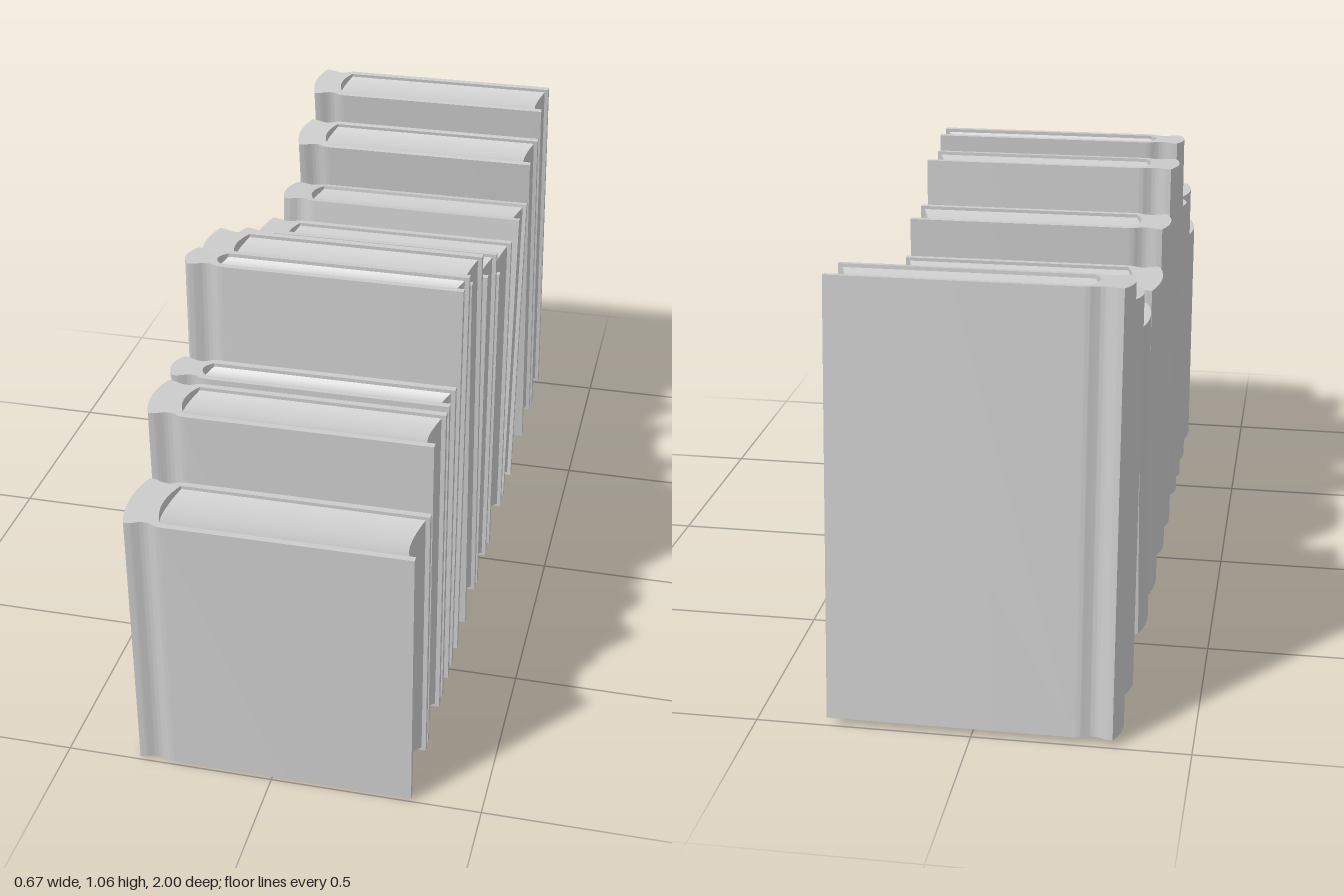
import * as THREE from 'three';
import { toCreasedNormals } from 'three/addons/utils/BufferGeometryUtils.js';

const BOARD = 0.016;        // cover thickness
const FRONT = 0.335;        // x of the fore edge of the boards
const PAGE_BACK = -0.243, PAGE_FRONT = 0.325, BULGE = 0.018;

// [centre z, base y, thickness, height, lean in degrees towards +z]
const BOOKS = [
  [0.906, 0.009, 0.187, 0.668, 0],
  [0.723, 0.009, 0.153, 0.834, 0],
  [0.577, 0.009, 0.092, 0.834, 0],
  [0.452, 0.009, 0.092, 1.052, -1.2],
  [0.229, 0.010, 0.153, 1.018, 3.2],
  [0.058, 0.009, 0.148, 0.920, 0],
  [-0.164, 0.009, 0.206, 0.834, 0],
  [-0.374, 0.008, 0.151, 0.838, -5.9],
  [-0.729, 0.014, 0.153, 0.941, 6.2],
  [-0.921, 0.010, 0.152, 1.030, 6.1],
];

const material = new THREE.MeshStandardMaterial({ color: 0xcccccc });

// C-shaped case: two boards, hinge grooves and a rounded spine, extruded upwards
function coverGeometry(t, h) {
  const o = t / 2, i = o - BOARD;
  const s = new THREE.Shape();
  s.moveTo(FRONT, -o);
  s.lineTo(-0.235, -o);
  s.bezierCurveTo(-0.258, -o, -0.258, -o + 0.012, -0.277, -o + 0.012);
  s.bezierCurveTo(-0.295, -o + 0.012, -0.3, -o, -0.322, -o);
  s.quadraticCurveTo(-0.354, 0, -0.322, o);
  s.bezierCurveTo(-0.3, o, -0.295, o - 0.012, -0.277, o - 0.012);
  s.bezierCurveTo(-0.258, o - 0.012, -0.258, o, -0.235, o);
  s.lineTo(FRONT, o);
  s.lineTo(FRONT, i);
  s.lineTo(PAGE_BACK, i);
  s.quadraticCurveTo(PAGE_BACK - 2 * BULGE, 0, PAGE_BACK, -i);
  s.lineTo(FRONT, -i);
  s.closePath();
  const g = new THREE.ExtrudeGeometry(s, { depth: h, bevelEnabled: false, curveSegments: 10 });
  g.rotateX(-Math.PI / 2);
  return toCreasedNormals(g, 0.6);
}

// Page block: bowed towards the spine, with scooped top and bottom
function pagesGeometry(t, h) {
  const depth = t - 2 * BOARD + 0.001;
  const length = PAGE_FRONT - PAGE_BACK;
  const g = new THREE.BoxGeometry(length, h - 0.016, depth, 1, 1, 12);
  g.translate((PAGE_FRONT + PAGE_BACK) / 2, h / 2, 0);
  const p = g.attributes.position;
  for (let k = 0; k < p.count; k++) {
    const u = p.getZ(k) / (depth / 2);
    const bow = 1 - u * u;
    p.setX(k, p.getX(k) - BULGE * bow);
    p.setY(k, p.getY(k) - Math.sign(p.getY(k) - h / 2) * 0.016 * bow);
  }
  g.computeVertexNormals();
  return g;
}

function createBook(t, h) {
  const book = new THREE.Group();
  const cover = new THREE.Mesh(coverGeometry(t, h), material);
  cover.name = 'cover';
  const pages = new THREE.Mesh(pagesGeometry(t, h), material);
  pages.name = 'pages';
  book.add(cover, pages);
  return book;
}

export function createModel() {
  const model = new THREE.Group();
  model.name = 'bookRow';
  BOOKS.forEach(([z, y, t, h, lean], n) => {
    const book = createBook(t, h);
    book.name = `book${n + 1}`;
    book.position.set(0, y, z);
    book.rotation.x = THREE.MathUtils.degToRad(lean);
    model.add(book);
  });
  return model;
}
